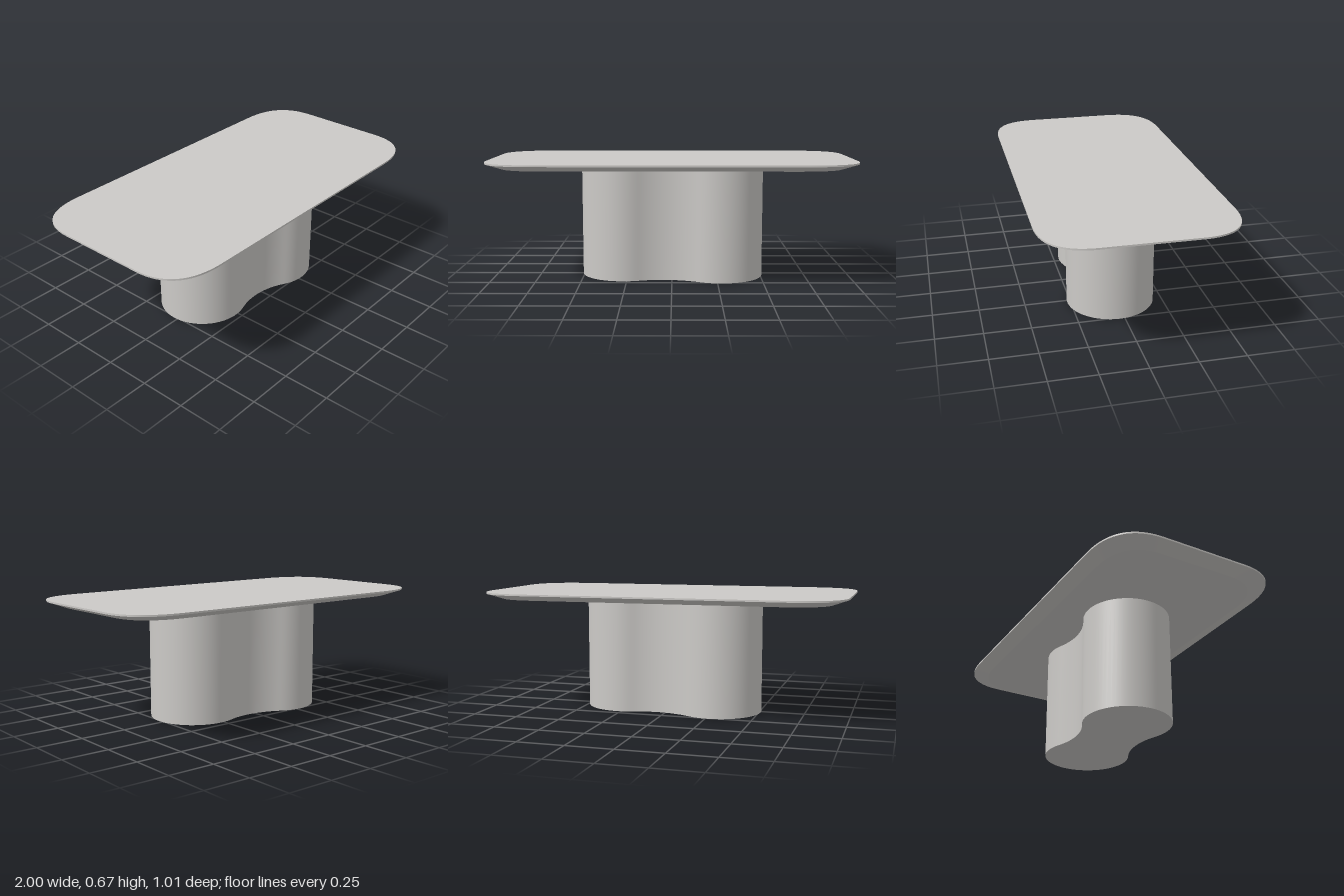
import * as THREE from 'three';

// Points run from +x towards +z; each half is repeated by a half turn.
const halfTurn = (half) => [...half, ...half.map(([x, z]) => [-x, -z])];

// Rounded rectangle with soft, drawn-out corners
function topOutline(hx, hz, cx, cz) {
  const steps = 20;
  const corner = (t) => {
    const a = (1 - t) * (1 - t), b = t * t;
    return [hx - cx * b, hz - cz * a];
  };
  const half = [];
  for (let i = 0; i <= steps; i++) half.push(corner(i / steps));
  for (let i = steps; i >= 0; i--) {
    const [x, z] = corner(i / steps);
    half.push([-x, z]);
  }
  return halfTurn(half);
}

// Two round lobes joined by a concave waist, turned slightly
function baseOutline(c, r, waist, turn) {
  const d = r - waist;
  const h = (c * c - d * d) / (2 * d); // centre of the concave arc
  const R = h - waist;
  const phi = Math.atan2(h, -c);
  const beta = Math.atan2(h, c);
  const half = [];
  for (let i = 0; i < 40; i++) {
    const a = -phi + (2 * phi * i) / 40;
    half.push([c + r * Math.cos(a), r * Math.sin(a)]);
  }
  for (let i = 0; i < 16; i++) {
    const a = -beta - ((Math.PI - 2 * beta) * i) / 16;
    half.push([R * Math.cos(a), h + R * Math.sin(a)]);
  }
  const cs = Math.cos(turn), sn = Math.sin(turn);
  return halfTurn(half.map(([x, z]) => [x * cs - z * sn, x * sn + z * cs]));
}

function makeGeometry(positions, index) {
  const g = new THREE.BufferGeometry();
  g.setAttribute('position', new THREE.Float32BufferAttribute(positions, 3));
  g.setIndex(index);
  g.computeVertexNormals();
  return g;
}

// Smooth wall between two outlines
function wall(lower, y0, upper, y1) {
  const n = lower.length, pos = [], idx = [];
  lower.forEach(([x, z]) => pos.push(x, y0, z));
  upper.forEach(([x, z]) => pos.push(x, y1, z));
  for (let i = 0; i < n; i++) {
    const j = (i + 1) % n;
    idx.push(i, n + i, j, j, n + i, n + j);
  }
  return makeGeometry(pos, idx);
}

// Flat face filling an outline
function cap(outline, y, up) {
  const n = outline.length, pos = [0, y, 0], idx = [];
  outline.forEach(([x, z]) => pos.push(x, y, z));
  for (let i = 0; i < n; i++) {
    const a = 1 + i, b = 1 + ((i + 1) % n);
    if (up) idx.push(0, b, a);
    else idx.push(0, a, b);
  }
  return makeGeometry(pos, idx);
}

export function createModel() {
  const model = new THREE.Group();
  model.name = 'coffeeTable';
  const stone = new THREE.MeshStandardMaterial({ color: 0xcccac7 });
  stone.name = 'warm grey';

  const addPart = (name, pieces) => {
    const part = new THREE.Group();
    part.name = name;
    for (const [label, geometry] of Object.entries(pieces)) {
      const mesh = new THREE.Mesh(geometry, stone);
      mesh.name = label;
      part.add(mesh);
    }
    model.add(part);
    return part;
  };

  const yUnder = 0.628, yRim = 0.658, yTop = 0.667;

  // Tabletop: thin rim over a wide bevelled underside
  const edge = topOutline(1, 0.505, 0.3, 0.26);
  const under = topOutline(0.92, 0.428, 0.26, 0.22);
  addPart('tabletop', {
    topSurface: cap(edge, yTop, true),
    rim: wall(edge, yRim, edge, yTop),
    bevel: wall(under, yUnder, edge, yRim),
    underside: cap(under, yUnder, false),
  });

  // Pedestal: solid double-lobed column
  const foot = baseOutline(0.271, 0.24, 0.18, 0.09);
  addPart('pedestal', {
    pedestalWall: wall(foot, 0, foot, yUnder),
    pedestalBottom: cap(foot, 0, false),
  }).position.z = 0.004;

  return model;
}
